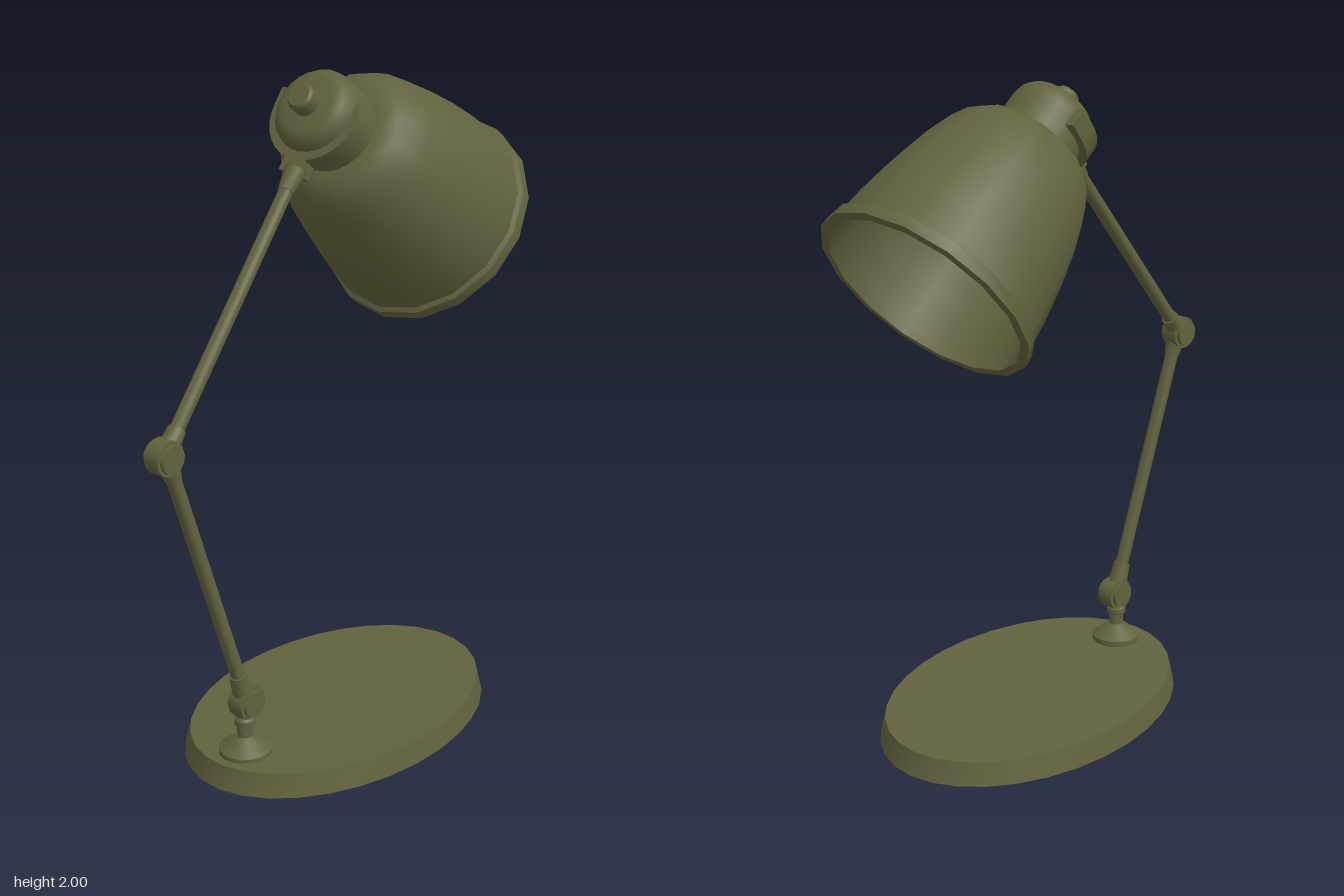
import * as THREE from 'three';
import { toCreasedNormals } from 'three/addons/utils/BufferGeometryUtils.js';

const material = new THREE.MeshStandardMaterial({ color: 0x62623e, side: THREE.DoubleSide });
const V = (x, y, z) => new THREE.Vector3(x, y, z);
const UP = V(0, 1, 0);

function part(name, geometry, parent) {
  const mesh = new THREE.Mesh(toCreasedNormals(geometry, 0.6), material);
  mesh.name = name;
  parent.add(mesh);
  return mesh;
}

const lathe = (points, sides) =>
  new THREE.LatheGeometry(points.map(([r, y]) => new THREE.Vector2(r, y)), sides);

// Tapered round bar between two points
function bar(name, a, b, r1, r2, parent, sides = 12) {
  const dir = b.clone().sub(a);
  const mesh = part(name, new THREE.CylinderGeometry(r2, r1, dir.length(), sides), parent);
  mesh.position.copy(a).addScaledVector(dir, 0.5);
  mesh.quaternion.setFromUnitVectors(UP, dir.normalize());
  return mesh;
}

export function createModel() {
  const lamp = new THREE.Group();
  lamp.name = 'deskLamp';

  // Lamp axis (pointing out of the shade) and the horizontal hinge axis across it
  const headTop = V(-0.108, 1.955, 0.077);
  const axis = V(0.383, 1.475, -0.268).sub(headTop).normalize();
  const hinge = V(-axis.z, 0, axis.x).normalize();

  // Oval base, gently sloped
  const baseGeo = new THREE.CylinderGeometry(0.965, 1, 0.07, 32);
  baseGeo.scale(0.567, 1, 0.382).rotateY(0.66);
  const p = baseGeo.attributes.position;
  for (let i = 0; i < p.count; i++) p.setY(i, p.getY(i) + 0.043 * p.getZ(i));
  part('base', baseGeo, lamp).position.set(-0.005, 0.056, 0.115);

  // Foot with flared flange and neck
  const foot = V(-0.357, 0, 0.382);
  part('foot', lathe([[0, 0.09], [0.078, 0.09], [0.078, 0.117], [0.066, 0.125], [0.034, 0.15],
    [0.023, 0.157], [0.023, 0.19], [0.031, 0.195], [0.031, 0.212], [0.025, 0.22], [0.025, 0.25], [0, 0.25]], 16), lamp)
    .position.copy(foot);

  // Hinge joints: barrel with a slimmer cap at each end
  const lower = V(-0.35, 0.264, 0.377), elbow = V(-0.59, 1.105, 0.505);
  for (const [name, c] of [['footHinge', lower], ['elbowHinge', elbow]]) {
    const along = (d) => c.clone().addScaledVector(hinge, d);
    bar(name, along(-0.025), along(0.025), 0.051, 0.051, lamp, 14);
    bar(name + 'Caps', along(-0.037), along(0.037), 0.041, 0.041, lamp, 14);
  }

  // Arms with a tapered socket at each end
  const armTop = V(-0.125, 1.752, 0.105);
  const lowerStart = V(-0.355, 0.28, 0.38), lowerEnd = V(-0.583, 1.10, 0.502);
  for (const [name, a, b] of [['lowerArm', lowerStart, lowerEnd], ['upperArm', elbow, armTop]]) {
    const len = a.distanceTo(b);
    bar(name, a, b, 0.021, 0.021, lamp);
    bar(name + 'LowerSocket', a, a.clone().lerp(b, 0.085 / len), 0.034, 0.026, lamp);
    bar(name + 'UpperSocket', b.clone().lerp(a, 0.07 / len), b, 0.024, 0.033, lamp);
  }

  // Head: local y runs back along the lamp axis, local z faces the arm
  const head = new THREE.Group();
  head.name = 'head';
  head.position.copy(headTop);
  const back = axis.clone().negate();
  head.quaternion.setFromRotationMatrix(
    new THREE.Matrix4().makeBasis(hinge, back, hinge.clone().cross(back)));
  lamp.add(head);

  // Switch knob and rounded lamp holder
  part('knob', lathe([[0, -0.06], [0.041, -0.06], [0.041, -0.008], [0.034, 0], [0, 0]], 12), head);
  part('lampHolder', lathe([[0, -0.21], [0.128, -0.21], [0.128, -0.105], [0.122, -0.076],
    [0.107, -0.056], [0.085, -0.048], [0, -0.048]], 24), head);

  // U-shaped yoke holding the lamp holder
  const ro = 0.152, ri = 0.122, ear = -0.055;
  const u = new THREE.Shape();
  u.moveTo(ro, ear);
  u.absarc(0, 0, ro, 0, Math.PI, false);
  u.lineTo(-ro, ear);
  u.lineTo(-ri, ear);
  u.absarc(0, 0, ri, Math.PI, 0, true);
  u.lineTo(ri, ear);
  u.closePath();
  const yoke = new THREE.ExtrudeGeometry(u, { depth: 0.06, bevelEnabled: false, curveSegments: 8 });
  part('yoke', yoke.rotateX(Math.PI / 2), head).position.y = -0.095;

  // Block joining the yoke to the upper arm
  part('yokeBlock', new THREE.BoxGeometry(0.07, 0.055, 0.05), head).position.set(0, -0.12, 0.163);

  // Bell shade with a wall thickness and a raised rim
  part('shade', lathe([[0, -0.205], [0.1, -0.205], [0.15, -0.212], [0.188, -0.228], [0.217, -0.262],
    [0.243, -0.315], [0.27, -0.4], [0.292, -0.5], [0.31, -0.61], [0.322, -0.728], [0.336, -0.735],
    [0.338, -0.77], [0.312, -0.772], [0.305, -0.72], [0.295, -0.61], [0.278, -0.5], [0.255, -0.4],
    [0.229, -0.32], [0.203, -0.27], [0.17, -0.24], [0.1, -0.225], [0, -0.225]].reverse(), 16), head);

  return lamp;
}
